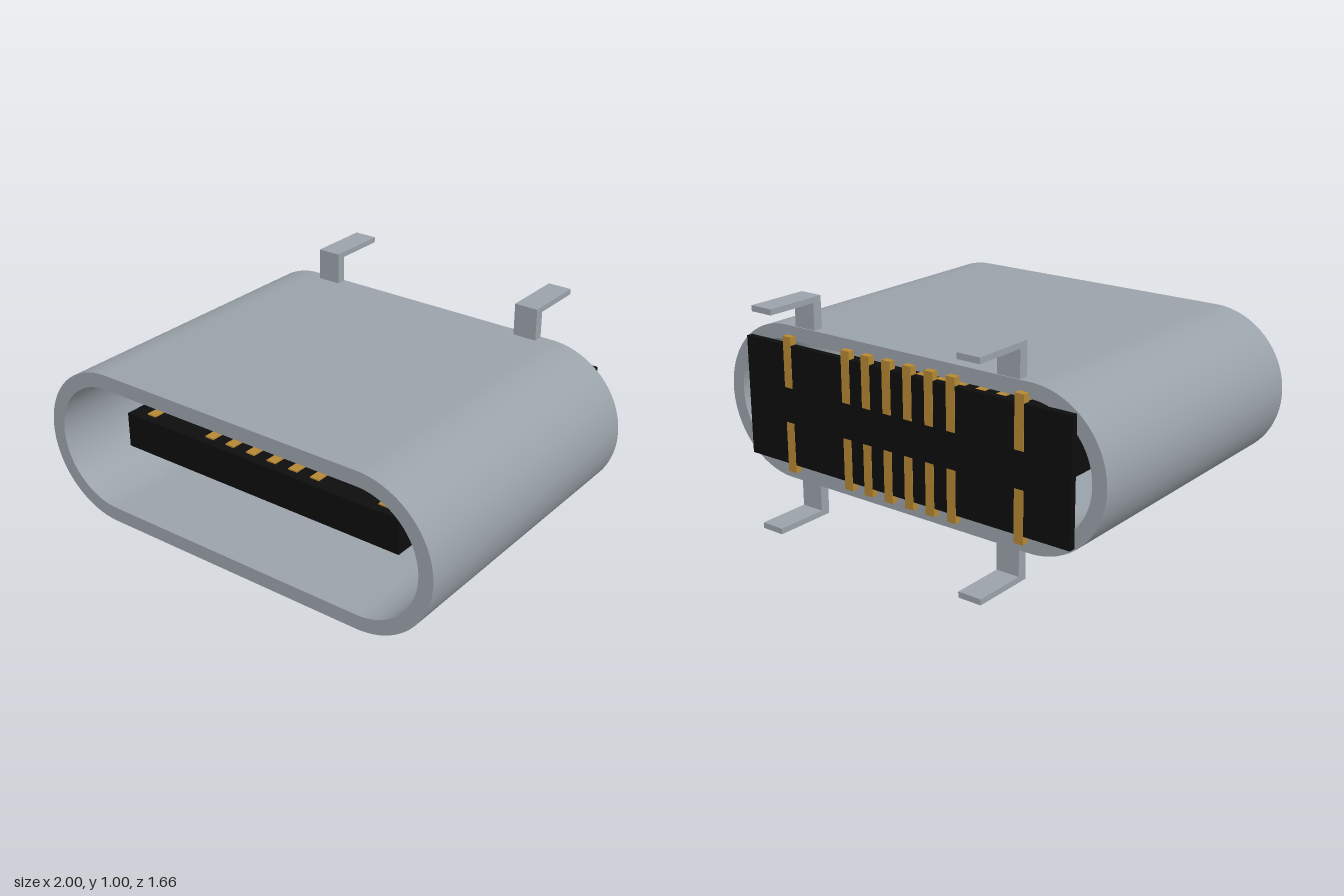
import * as THREE from 'three';
import { toCreasedNormals } from 'three/addons/utils/BufferGeometryUtils.js';

const CY = 0.4975; // height of the connector's axis

function material(name, color) {
  const m = new THREE.MeshStandardMaterial({ color });
  m.name = name;
  return m;
}

// Box given by its min and max corners
function block(name, mat, [x0, y0, z0], [x1, y1, z1]) {
  const mesh = new THREE.Mesh(new THREE.BoxGeometry(x1 - x0, y1 - y0, z1 - z0), mat);
  mesh.position.set((x0 + x1) / 2, (y0 + y1) / 2, (z0 + z1) / 2);
  mesh.name = name;
  return mesh;
}

// Stadium outline: two half circles joined by straight sides
function stadium(path, half, r) {
  path.moveTo(-half, -r);
  path.lineTo(half, -r);
  path.absarc(half, 0, r, -Math.PI / 2, Math.PI / 2, false);
  path.lineTo(-half, r);
  path.absarc(-half, 0, r, Math.PI / 2, Math.PI * 1.5, false);
  return path;
}

export function createModel() {
  const steel = material('steel', 0x9aa2a9);
  const plastic = material('black plastic', 0x0d0d0d);
  const gold = material('gold', 0xb58733);
  const model = new THREE.Group();
  model.name = 'connector';

  // Hollow metal shell
  const ring = stadium(new THREE.Shape(), 0.648, 0.352);
  ring.holes.push(stadium(new THREE.Path(), 0.648, 0.286));
  const shellGeo = new THREE.ExtrudeGeometry(ring, { depth: 1.42, bevelEnabled: false, curveSegments: 32 });
  const shell = new THREE.Mesh(toCreasedNormals(shellGeo, 0.6), steel);
  shell.position.set(0, CY, -0.59);
  shell.name = 'shell';
  model.add(shell);

  // Insulator: back plate and tongue
  model.add(block('backPlate', plastic, [-0.86, CY - 0.273, -0.62], [0.86, CY + 0.273, -0.59]));
  model.add(block('tongue', plastic, [-0.72, CY - 0.08, -0.6], [0.72, CY + 0.08, 0.65]));

  // Contacts: a strip along the tongue and a tail down the back plate, above and below
  const contacts = new THREE.Group();
  contacts.name = 'contacts';
  const w = 0.0225;
  for (const x of [-0.618, -0.283, -0.171, -0.059, 0.053, 0.166, 0.278, 0.615]) {
    for (const s of [1, -1]) {
      const span = (a, b) => [Math.min(CY + s * a, CY + s * b), Math.max(CY + s * a, CY + s * b)];
      const [a0, a1] = span(0.075, 0.086);
      const [b0, b1] = span(0.08, 0.31);
      contacts.add(block('contactStrip', gold, [x - w, a0, -0.6], [x + w, a1, 0.61]));
      contacts.add(block('contactTail', gold, [x - w, b0, -0.6215], [x + w, b1, -0.589]));
    }
  }
  model.add(contacts);

  // Bent mounting legs
  for (const x of [-0.54, 0.537]) {
    for (const s of [1, -1]) {
      const leg = new THREE.Group();
      leg.name = 'mountingLeg';
      const profile = new THREE.Shape();
      // profile: x is distance toward the back, y is distance from the axis
      [[0.54, 0.33], [0.585, 0.33], [0.585, 0.472], [0.83, 0.472], [0.83, 0.4975], [0.54, 0.4975]]
        .forEach(([z, y], i) => (i ? profile.lineTo(z, s * y) : profile.moveTo(z, s * y)));
      const geo = new THREE.ExtrudeGeometry(profile, { depth: 0.11, bevelEnabled: false });
      geo.translate(0, 0, -0.055);
      geo.rotateY(Math.PI / 2);
      const mesh = new THREE.Mesh(geo, steel);
      mesh.name = 'legStrip';
      leg.add(mesh);
      leg.position.set(x, CY, 0);
      model.add(leg);
    }
  }
  return model;
}
